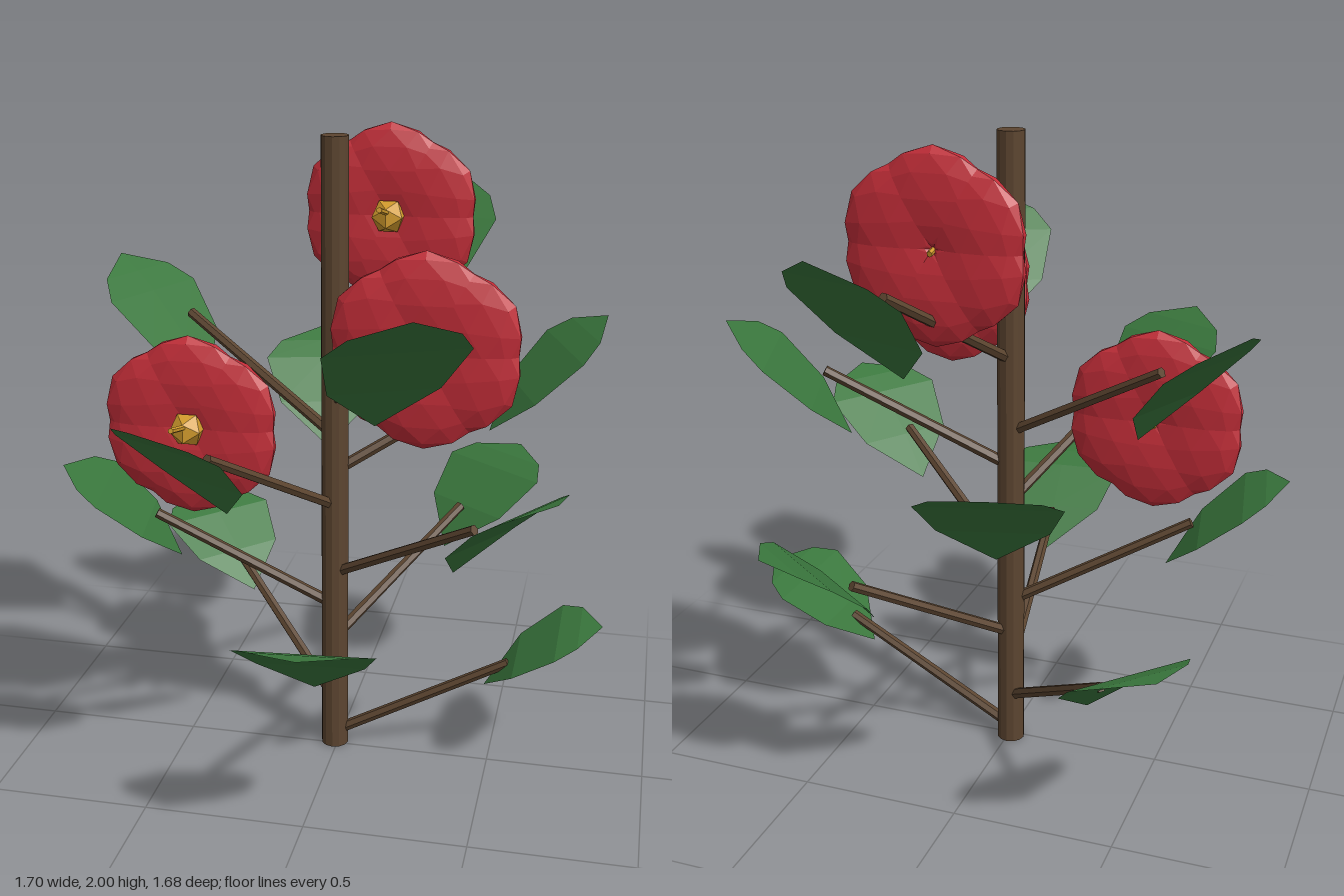
import * as THREE from 'three';

const mat = (name, color, extra = {}) => {
  const m = new THREE.MeshStandardMaterial({ color, flatShading: true, ...extra });
  m.name = name;
  return m;
};
const bark = mat('bark brown', 0x5c4530);
const leafGreen = mat('leaf green', 0x3a773d, { side: THREE.DoubleSide });
const petalRed = mat('petal red', 0xc22d38);
const gold = mat('stamen gold', 0xd09a2c);

function part(name, geometry, material, parent) {
  const mesh = new THREE.Mesh(geometry, material);
  mesh.name = name;
  parent.add(mesh);
  return mesh;
}

// Straight rod between two points
function rod(name, a, b, r0, r1, sides, material, parent) {
  const dir = b.clone().sub(a);
  const mesh = part(name, new THREE.CylinderGeometry(r1, r0, dir.length(), sides), material, parent);
  mesh.position.copy(a).add(b).multiplyScalar(0.5);
  mesh.quaternion.setFromUnitVectors(new THREE.Vector3(0, 1, 0), dir.normalize());
  return mesh;
}

// Leaf pointing along +x: stations of [distance, half width], arched upward;
// higher leaves hang lower at the base and are straighter
function leafGeometry(i, tipY) {
  const stations = [[0.49, 0], [0.59, 0.158], [0.72, 0.203], [0.785, 0.15], [0.855, 0]];
  const low = -0.085 - 0.0148 * i;
  const curve = 1 - 0.07 * i;
  const point = ([u, w], side) => {
    const t = (u - 0.49) / 0.365;
    const f = t + curve * t * (1 - t);
    return [u, tipY + low + (0.157 - low) * f, w * side];
  };
  const pos = [];
  for (let k = 0; k < stations.length - 1; k++) {
    for (const s of [-1, 0]) {
      const a = point(stations[k], s), b = point(stations[k], s + 1);
      const c = point(stations[k + 1], s), d = point(stations[k + 1], s + 1);
      if (k > 0) pos.push(...a, ...b, ...d);
      if (k === 0) pos.push(...a, ...d, ...c);
      else if (k < stations.length - 2) pos.push(...a, ...d, ...c);
    }
  }
  const g = new THREE.BufferGeometry();
  g.setAttribute('position', new THREE.Float32BufferAttribute(pos, 3));
  g.computeVertexNormals();
  return g;
}

// Flat round bloom of overlapping petals, facing +z
function flower(x, y, z) {
  const g = new THREE.Group();
  g.name = 'flower';
  const count = 6;
  for (let k = 0; k < count; k++) {
    const a = Math.PI / 2 + (k / count) * Math.PI * 2;
    const petal = part('petal', new THREE.IcosahedronGeometry(1, 1), petalRed, g);
    petal.scale.set(0.145, 0.17, 0.042);
    petal.position.set(Math.cos(a) * 0.14, Math.sin(a) * 0.14, 0);
    petal.rotation.z = a;
  }
  const heart = part('flowerHeart', new THREE.IcosahedronGeometry(0.056, 0), gold, g);
  heart.position.z = 0.04;
  rod('stamen', new THREE.Vector3(0, -0.01, -0.035), new THREE.Vector3(0, 0.048, 0.198),
    0.009, 0.009, 6, gold, g);
  g.position.set(x, y, z);
  return g;
}

export function createModel() {
  const model = new THREE.Group();
  model.name = 'floweringShrub';

  const plant = new THREE.Group();
  plant.name = 'stemAndBranches';
  plant.position.set(-0.01, 0, -0.015);
  model.add(plant);

  // Main stem
  const stem = part('stem', new THREE.CylinderGeometry(0.042, 0.044, 2, 12), bark, plant);
  stem.position.y = 1;

  // Branches spiral up the stem by the golden angle, each ending in a leaf
  for (let i = 0; i < 12; i++) {
    const branch = new THREE.Group();
    branch.name = 'branch';
    branch.rotation.y = THREE.MathUtils.degToRad(137.5 * i);
    plant.add(branch);
    const tipY = 0.352 + 0.1155 * i;
    rod('twig', new THREE.Vector3(0, tipY - 0.312, 0), new THREE.Vector3(0.565, tipY, 0),
      0.018, 0.016, 6, bark, branch);
    part('leaf', leafGeometry(i, tipY), leafGreen, branch);
  }

  // Blooms
  model.add(flower(0.1, 1.715, -0.335));
  model.add(flower(0.315, 1.46, 0.31));
  model.add(flower(-0.435, 1.125, 0.11));
  return model;
}
